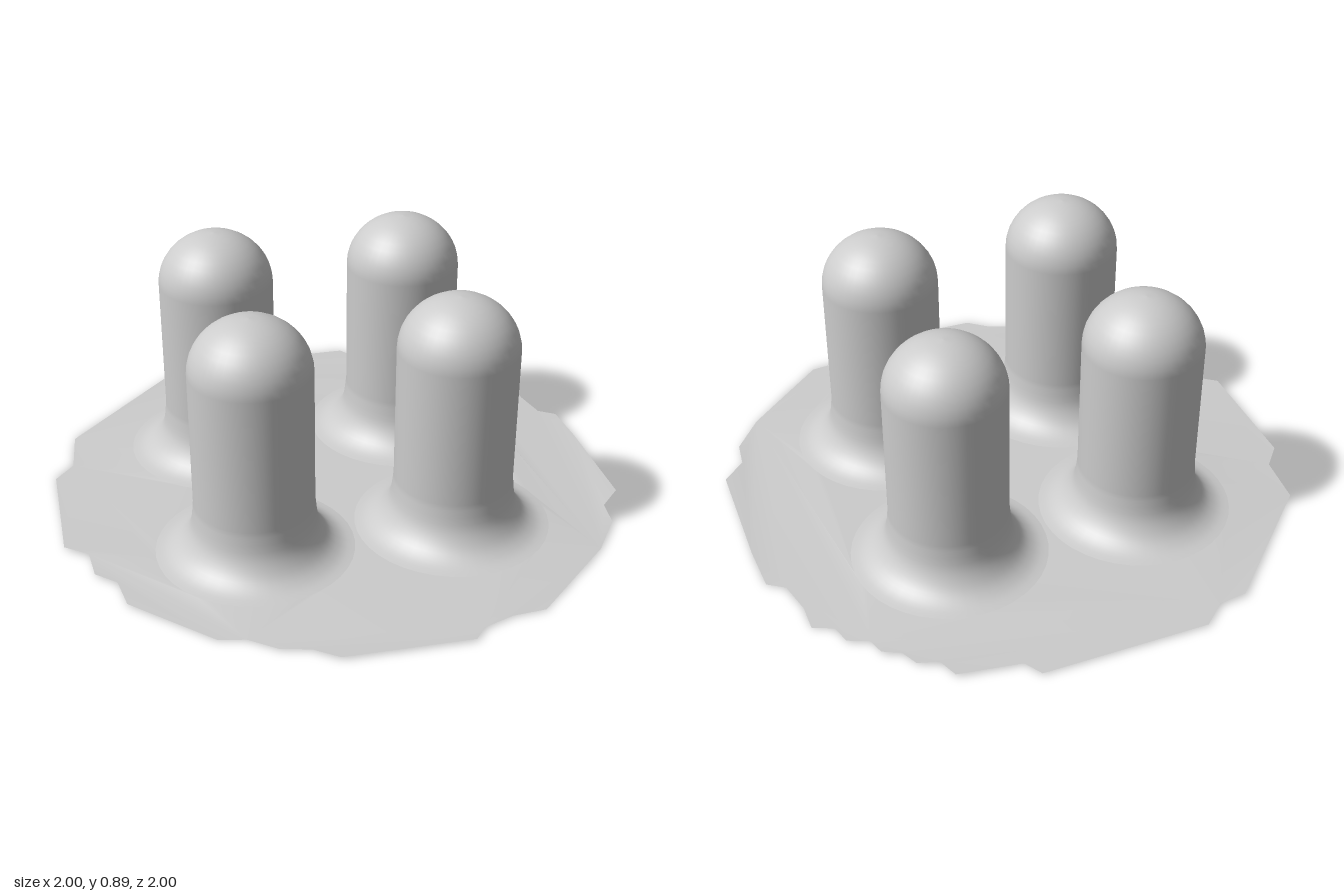
import * as THREE from 'three';

const CENTRE = 0.353;      // finger axis offset in x and z
const FOOT_RADIUS = 0.345; // where the flare meets the sheet
const FOOT_Y = 0.017;
const SEGMENTS = 40;

// Ragged rim of the sheet as x, z pairs
const RIM = [
  -0.32, -1, 0.27, -1, 0.31, -0.94, 0.53, -0.91, 0.56, -0.84, 0.63, -0.82, 0.66, -0.76,
  0.72, -0.73, 0.74, -0.67, 0.81, -0.64, 0.83, -0.57, 0.9, -0.54, 0.9, -0.44, 0.93, -0.32,
  0.99, -0.28, 1, -0.11, 1, 0.31, 0.92, 0.39, 0.91, 0.49, 0.81, 0.63, 0.51, 0.9,
  0.39, 0.91, 0.28, 0.95, 0.24, 1, -0.2, 0.99, -0.28, 0.93, -0.38, 0.9, -0.47, 0.83,
  -0.56, 0.81, -0.82, 0.57, -0.84, 0.45, -0.91, 0.39, -0.92, 0.27, -1, 0.21, -1, -0.25,
  -0.93, -0.33, -0.91, -0.52, -0.5, -0.92, -0.4, -0.93,
];

// Calls fn for the four finger positions
function eachCorner(fn) {
  for (const sx of [-1, 1]) for (const sz of [-1, 1]) fn(sx * CENTRE, sz * CENTRE);
}

// Thin sheet with four round openings, its rim slightly wavy
function sheetGeometry() {
  const points = [];
  for (let i = 0; i < RIM.length; i += 2) points.push(new THREE.Vector2(RIM[i], -RIM[i + 1]));
  const shape = new THREE.Shape(points);
  eachCorner((x, z) => {
    shape.holes.push(new THREE.Path().absarc(x, -z, FOOT_RADIUS, 0, Math.PI * 2, true));
  });
  const geometry = new THREE.ShapeGeometry(shape, SEGMENTS / 2);
  geometry.rotateX(-Math.PI / 2);
  const p = geometry.attributes.position;
  for (let i = 0; i < p.count; i++) {
    const x = p.getX(i), z = p.getZ(i);
    const onRim = Math.hypot(x, z) > 0.9;
    p.setY(i, onRim ? 0.006 + 0.006 * Math.sin(5 * Math.atan2(z, x)) : FOOT_Y);
  }
  geometry.computeVertexNormals();
  return geometry;
}

// Hollow finger: flared foot, straight wall, domed tip
function fingerGeometry() {
  const flare = new THREE.SplineCurve([
    [FOOT_RADIUS, FOOT_Y], [0.305, 0.026], [0.265, 0.05], [0.235, 0.088],
    [0.217, 0.135], [0.208, 0.21],
  ].map(([r, y]) => new THREE.Vector2(r, y)));
  const profile = flare.getPoints(15);
  for (let i = 0; i <= 10; i++) {
    const a = (i / 10) * Math.PI / 2;
    profile.push(new THREE.Vector2(i === 10 ? 0 : 0.208 * Math.cos(a), 0.7 + 0.192 * Math.sin(a)));
  }
  return new THREE.LatheGeometry(profile, SEGMENTS);
}

export function createModel() {
  const group = new THREE.Group();
  const material = new THREE.MeshStandardMaterial({ color: 0xcccccc, side: THREE.DoubleSide });

  const sheet = new THREE.Mesh(sheetGeometry(), material);
  sheet.name = 'baseSheet';
  group.add(sheet);

  const geometry = fingerGeometry();
  eachCorner((x, z) => {
    const finger = new THREE.Mesh(geometry, material);
    finger.name = `${z > 0 ? 'front' : 'back'}${x > 0 ? 'Left' : 'Right'}Finger`;
    finger.position.set(x, 0, z);
    group.add(finger);
  });
  return group;
}
